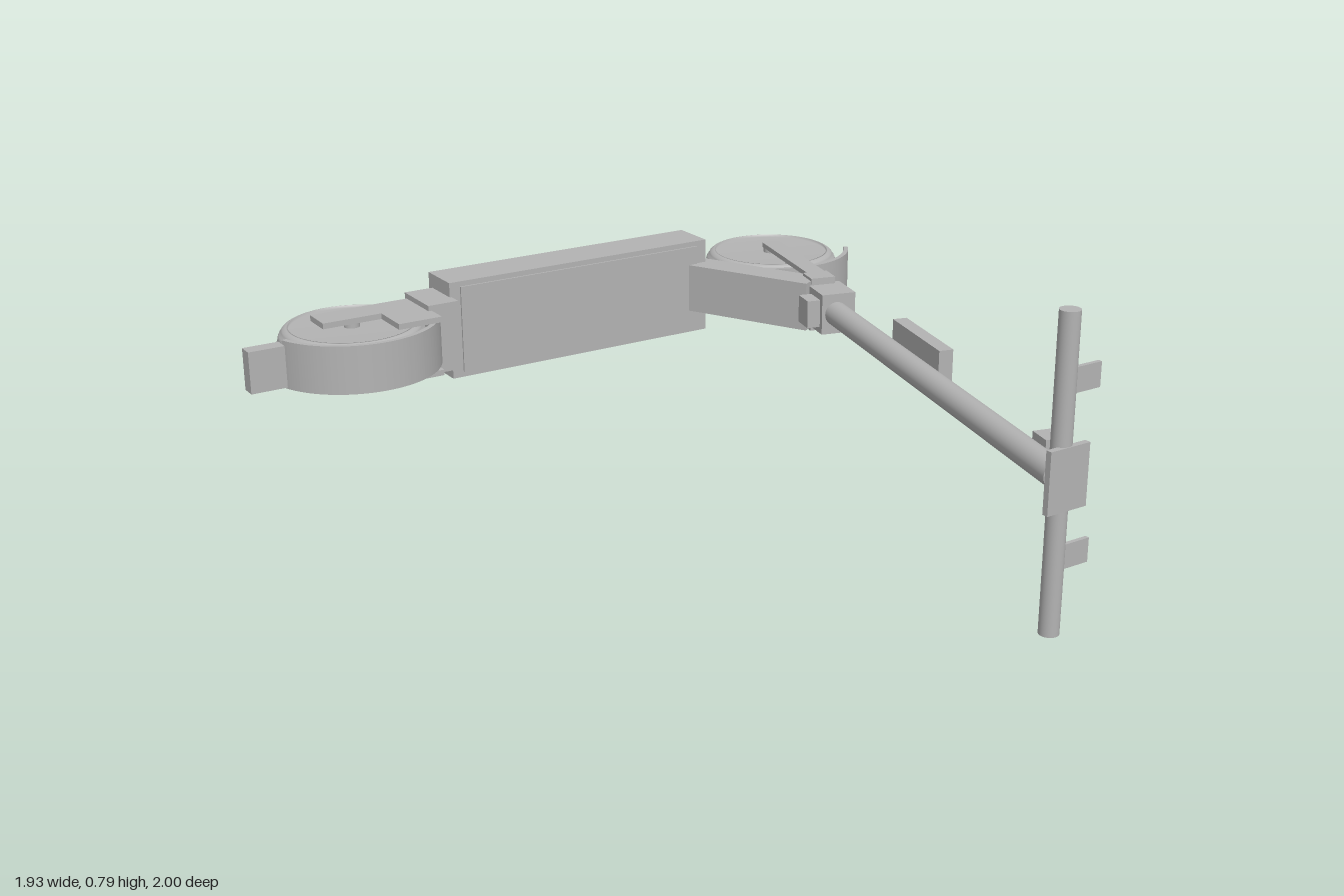
import * as THREE from 'three';

export function createModel() {
  const root = new THREE.Group();
  root.name = 'foldingScooter';
  const body = new THREE.Group();
  body.name = 'scooterOnItsSide';
  body.position.y = 0.395; // the scooter lies on its side, so y = 0 here is its middle plane
  root.add(body);

  const grey = new THREE.MeshStandardMaterial({ color: 0xb3b3b3 });
  grey.name = 'grey';

  const add = (name, geometry, x = 0, y = 0, z = 0, turn = 0) => {
    const mesh = new THREE.Mesh(geometry, grey);
    mesh.name = name;
    mesh.position.set(x, y, z);
    mesh.rotation.y = turn;
    body.add(mesh);
    return mesh;
  };
  const box = (name, x, z, w, h, d, turn = 0, y = 0) =>
    add(name, new THREE.BoxGeometry(w, h, d), x, y, z, turn);
  // box from one point (x, z) to another
  const beam = (name, a, b, w, h, y = 0) => {
    const dx = b[0] - a[0], dz = b[1] - a[1];
    return box(name, (a[0] + b[0]) / 2, (a[1] + b[1]) / 2, w, h,
      Math.hypot(dx, dz), Math.atan2(dx, dz), y);
  };
  // outline drawn in x and z, given a height along y
  const slab = (name, shape, h, x, y, z) => {
    const g = new THREE.ExtrudeGeometry(shape, { depth: h, bevelEnabled: false, curveSegments: 32 });
    g.translate(0, 0, -h / 2);
    g.rotateX(Math.PI / 2);
    return add(name, g, x, y, z);
  };

  // Wheels: rounded tyre with fine grooves around a flat disc
  const profile = [new THREE.Vector2(0, -0.046), new THREE.Vector2(0.172, -0.046)];
  const steps = 26;
  for (let i = 0; i <= steps; i++) {
    const a = -Math.PI / 2 + (Math.PI * i) / steps;
    const groove = i > 2 && i < steps - 2 && i % 4 === 0 ? 0.004 : 0;
    profile.push(new THREE.Vector2(0.172 + (0.033 - groove) * Math.cos(a), 0.054 * Math.sin(a)));
  }
  profile.push(new THREE.Vector2(0.172, 0.046), new THREE.Vector2(0, 0.046));
  const wheelGeometry = new THREE.LatheGeometry(profile, 64);
  const rear = [-0.64, -0.795], front = [0.755, -0.795];
  for (const [name, [x, z]] of [['rear', rear], ['front', front]]) {
    add(name + 'Wheel', wheelGeometry, x, 0, z);
    add(name + 'Axle', new THREE.CylinderGeometry(0.022, 0.022, 0.15, 24), x, 0, z);
  }

  // Curved mudguards
  const fender = (name, [x, z], from, to, h) => {
    const s = new THREE.Shape();
    const a = THREE.MathUtils.degToRad(from), b = THREE.MathUtils.degToRad(to);
    s.absarc(0, 0, 0.24, a, b, false);
    s.absarc(0, 0, 0.226, b, a, true);
    slab(name, s, h, x, 0, z);
  };
  fender('rearFender', rear, 22, 162, 0.134);
  fender('frontFender', front, 30, 150, 0.118);
  box('tailLight', -0.92, -0.719, 0.1, 0.116, 0.044);

  // Deck, its mat and the rear bracket
  box('deck', 0.05, -0.801, 0.845, 0.28, 0.133);
  box('deckMat', 0.05, -0.733, 0.78, 0.25, 0.008);
  box('rearBracket', -0.412, -0.77, 0.09, 0.198, 0.154);

  // Stepped plates that hold the rear wheel
  const stay = new THREE.Shape([[-0.742, -0.836], [-0.447, -0.836], [-0.447, -0.63],
    [-0.573, -0.63], [-0.573, -0.746], [-0.742, -0.746]].map(p => new THREE.Vector2(...p)));
  for (const side of [-1, 1]) slab('rearStay', stay, 0.016, 0, side * 0.076, 0);

  // Neck between the deck and the steering head
  beam('neck', [0.435, -0.78], [0.63, -0.4], 0.09, 0.142);

  // Steering head and fork, all leaning with the stem
  const top = [0.314, 0.968], bottom = [0.642, -0.34];
  const lean = Math.atan2(top[0] - bottom[0], top[1] - bottom[1]);
  box('steeringHead', 0.648, -0.338, 0.102, 0.118, 0.12, lean);
  box('foldingLatch', 0.578, -0.345, 0.04, 0.08, 0.068, lean);
  box('forkCrown', 0.66, -0.413, 0.075, 0.158, 0.066, lean);
  for (const side of [-1, 1])
    beam('forkBlade', [0.752, -0.79], [0.66, -0.4], 0.056, 0.014, side * 0.072);

  // Stem
  const stem = new THREE.CylinderGeometry(0.035, 0.035,
    Math.hypot(top[0] - bottom[0], top[1] - bottom[1]), 32);
  stem.rotateX(Math.PI / 2);
  add('stem', stem, (top[0] + bottom[0]) / 2, 0, (top[1] + bottom[1]) / 2, lean);
  box('stemPack', 0.572, 0.17, 0.04, 0.144, 0.288, lean);
  box('bagHook', 0.408, 0.836, 0.05, 0.074, 0.065, lean);

  // Handlebar, display and brake levers
  add('handlebar', new THREE.CylinderGeometry(0.025, 0.025, 0.79, 32), 0.315, 0, 0.973);
  box('display', 0.319, 0.992, 0.118, 0.156, 0.016);
  for (const side of [-1, 1])
    box('brakeLever', 0.383, 0.955, 0.106, 0.062, 0.011, 0, side * 0.217);

  return root;
}
